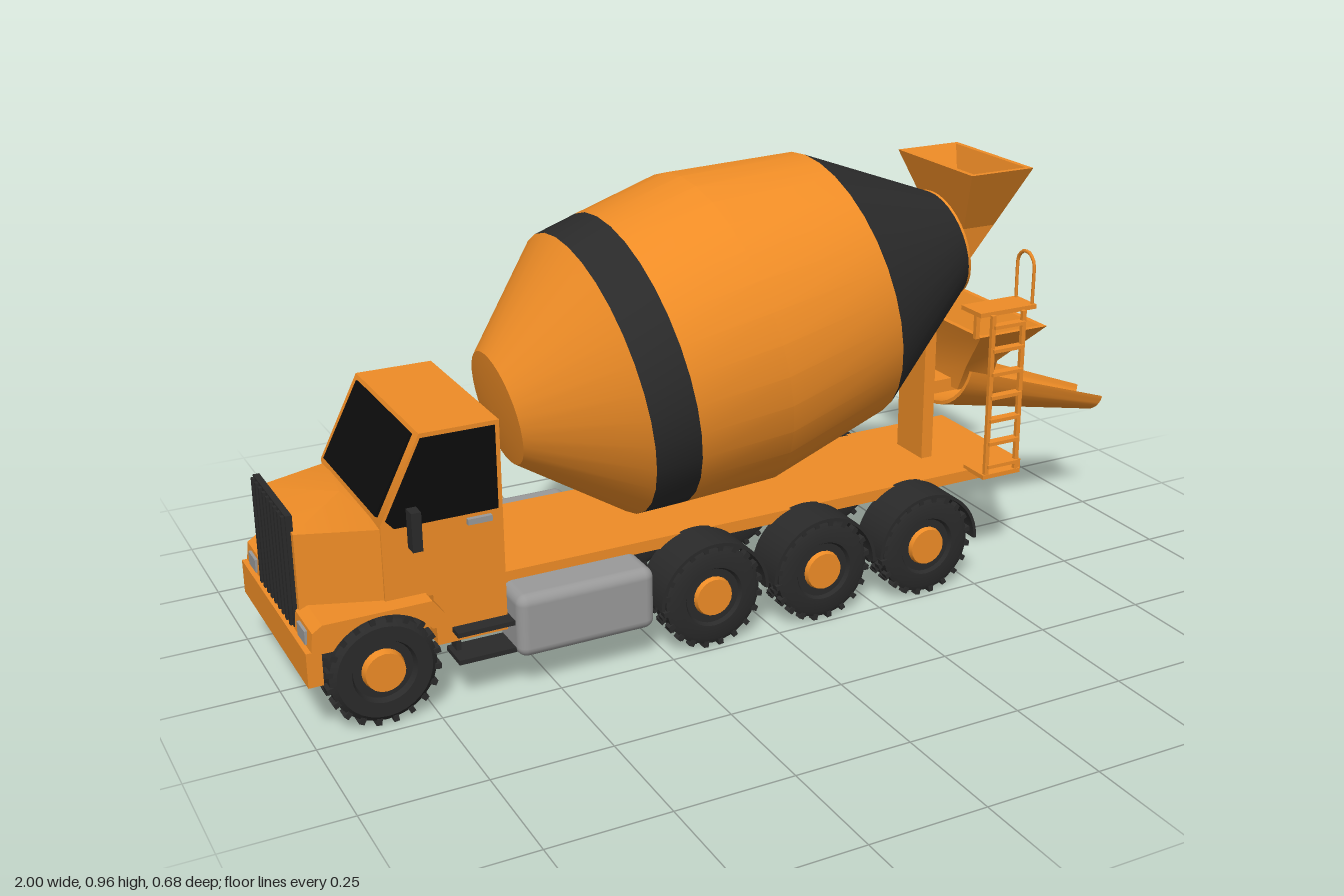
import * as THREE from 'three';
import { toCreasedNormals } from 'three/addons/utils/BufferGeometryUtils.js';
import { RoundedBoxGeometry } from 'three/addons/geometries/RoundedBoxGeometry.js';

const paint = (color) => new THREE.MeshStandardMaterial({ color, side: THREE.DoubleSide });
const orange = paint(0xee8c26), black = paint(0x2a2a2a), grey = paint(0x999999), glass = paint(0x0c0c0c);

function add(parent, name, geometry, material, x = 0, y = 0, z = 0) {
  const mesh = new THREE.Mesh(geometry, material);
  mesh.name = name;
  mesh.position.set(x, y, z);
  parent.add(mesh);
  return mesh;
}

// Box given by its limits on each axis
function box(parent, name, mat, x0, x1, y0, y1, z0, z1) {
  return add(parent, name, new THREE.BoxGeometry(x1 - x0, y1 - y0, z1 - z0), mat,
    (x0 + x1) / 2, (y0 + y1) / 2, (z0 + z1) / 2);
}

// Shape from a side outline of (x, y) corners
const polygon = (outline) => new THREE.Shape(outline.map(([x, y]) => new THREE.Vector2(x, y)));

// Side shape extruded from z0 to z1
function slab(parent, name, mat, shape, z0, z1) {
  const geo = new THREE.ExtrudeGeometry(shape, { depth: z1 - z0, bevelEnabled: false, curveSegments: 16 });
  return add(parent, name, toCreasedNormals(geo, 0.5), mat, 0, 0, z0);
}

// Skin between successive rows of points
function loft(rows, closed) {
  const n = rows[0].length, pos = [];
  for (let r = 0; r + 1 < rows.length; r++) {
    for (let i = 0; i < (closed ? n : n - 1); i++) {
      const j = (i + 1) % n, [a, b, c, d] = [rows[r][i], rows[r][j], rows[r + 1][j], rows[r + 1][i]];
      pos.push(...a, ...b, ...c, ...a, ...c, ...d);
    }
  }
  const geo = new THREE.BufferGeometry();
  geo.setAttribute('position', new THREE.Float32BufferAttribute(pos, 3));
  geo.computeVertexNormals();
  return toCreasedNormals(geo, 0.5);
}

// Rectangular ring for hoppers
const rect = (x0, x1, y, w) => [[x0, y, w], [x1, y, w], [x1, y, -w], [x0, y, -w]];
// Open-topped hopper from outer levels [x0, x1, y, halfWidth], bottom to top
function hopper(parent, name, levels) {
  const t = 0.012;
  const outer = levels.map((l) => rect(...l));
  const inner = levels.map(([a, b, y, w]) => rect(a + t, b - t, y, w - t)).reverse();
  add(parent, name, loft([...outer, ...inner], true), orange);
}

const rod = (points, r) => new THREE.TubeGeometry(
  new THREE.CatmullRomCurve3(points.map((p) => new THREE.Vector3(...p)), false, 'catmullrom', 0.3), 24, r, 6);

function wheel(parent, name, x, z, width, side) {
  const g = new THREE.Group(), h = width / 2;
  g.name = name;
  g.position.set(x, 0.12, z);
  g.rotation.x = side * Math.PI / 2;
  const profile = [[0.001, -h * 0.6], [0.06, -h * 0.6], [0.065, -h], [0.095, -h], [0.107, -h * 0.7],
    [0.107, h * 0.7], [0.095, h], [0.065, h], [0.06, h * 0.6], [0.001, h * 0.6]];
  const tyre = new THREE.LatheGeometry(profile.map(([r, y]) => new THREE.Vector2(r, y)), 32);
  add(g, 'tyre', toCreasedNormals(tyre, 0.6), black);
  add(g, 'hub', new THREE.CylinderGeometry(0.04, 0.044, h * 0.6, 20), orange, 0, h * 0.8, 0);
  // Tread blocks, staggered in two rows
  for (let i = 0; i < 40; i++) {
    const a = i * Math.PI / 20;
    const lug = add(g, 'tread', new THREE.BoxGeometry(0.014, h * 0.85, 0.011), black,
      Math.cos(a) * 0.108, (i % 2 ? 1 : -1) * h * 0.45, Math.sin(a) * 0.108);
    lug.rotation.y = -a;
  }
  parent.add(g);
}

function buildDrum(parent) {
  const drum = new THREE.Group();
  drum.name = 'drum';
  drum.position.set(-0.035, 0.615, 0);
  drum.rotation.z = THREE.MathUtils.degToRad(11 - 90);
  const band = (name, mat, pts) => add(drum, name, toCreasedNormals(
    new THREE.LatheGeometry(pts.map(([r, s]) => new THREE.Vector2(r, s)), 32), 0.3), mat);
  band('drumNose', orange, [[0.001, -0.5], [0.122, -0.49], [0.305, -0.29]]);
  band('drumStripe', black, [[0.305, -0.29], [0.318, -0.195]]);
  band('drumBody', orange, [[0.318, -0.195], [0.342, 0], [0.298, 0.29]]);
  band('drumRearCone', black, [[0.298, 0.29], [0.122, 0.58]]);
  band('drumMouth', orange, [[0.122, 0.58], [0.122, 0.586], [0.104, 0.586], [0.2, 0.38], [0.001, 0.3]]);
  parent.add(drum);
}

function buildCab(parent) {
  const cab = new THREE.Group();
  cab.name = 'cab';
  parent.add(cab);
  slab(cab, 'cabBody', orange, polygon([[-0.585, 0.13], [-0.73, 0.13], [-0.735, 0.24], [-0.83, 0.24],
    [-0.83, 0.405], [-0.745, 0.575], [-0.585, 0.575]]), -0.19, 0.19);
  // Hood narrows towards the grille
  const ring = (y) => [[-0.98, y, 0.13], [-0.82, y, 0.188], [-0.82, y, -0.188], [-0.98, y, -0.13]];
  const mid = (y) => ring(y).map(() => [-0.85, y, 0]);
  add(cab, 'hood', loft([mid(0.2), ring(0.2), ring(0.395), mid(0.408)], true), orange);
  box(cab, 'engineBay', orange, -0.975, -0.73, 0.13, 0.235, -0.15, 0.15);
  box(cab, 'bumper', orange, -1, -0.97, 0.125, 0.197, -0.23, 0.23);
  box(cab, 'grille', black, -0.988, -0.975, 0.195, 0.428, -0.115, 0.115);
  for (let i = -4; i <= 4; i++) {
    box(cab, 'grilleBar', black, -0.994, -0.985, 0.2, 0.425, i * 0.026 - 0.005, i * 0.026 + 0.005);
  }
  slab(cab, 'windshield', glass,
    polygon([[-0.832, 0.415], [-0.826, 0.412], [-0.746, 0.566], [-0.753, 0.569]]), -0.165, 0.165);

  for (const s of [1, -1]) {
    const span = (a, b) => (s > 0 ? [a, b] : [-b, -a]);
    // Front fender with a round wheel arch
    const fender = polygon([[-0.99, 0.19], [-0.985, 0.235], [-0.965, 0.248], [-0.75, 0.248],
      [-0.725, 0.215], [-0.735, 0.19]]);
    fender.absarc(-0.85, 0.12, 0.12, 0.62, Math.PI - 0.62, false);
    slab(cab, 'frontFender', orange, fender, ...span(0.12, 0.23));
    slab(cab, 'sideWindow', glass, polygon([[-0.82, 0.412], [-0.805, 0.395], [-0.595, 0.395], [-0.595, 0.566],
      [-0.743, 0.566]]), ...span(0.188, 0.194));
    box(cab, 'doorHandle', grey, -0.66, -0.61, 0.374, 0.386, ...span(0.188, 0.2));
    box(cab, 'mirror', black, -0.782, -0.762, 0.355, 0.435, ...span(0.2, 0.23));
    box(cab, 'mirrorArm', black, -0.775, -0.768, 0.405, 0.412, ...span(0.185, 0.205));
    box(cab, 'headlight', grey, -0.992, -0.97, 0.2, 0.228, ...span(0.15, 0.2));
    for (const y of [0.093, 0.152]) box(cab, 'step', black, -0.7, -0.58, y, y + 0.01, ...span(0.15, 0.222));
    box(cab, 'stepBracket', black, -0.69, -0.68, 0.093, 0.16, ...span(0.15, 0.18));
    wheel(parent, 'frontWheel', -0.85, s * 0.193, 0.068, s);
  }
}

function buildRear(parent) {
  box(parent, 'drumPost', orange, 0.482, 0.51, 0.238, 0.57, -0.05, 0.05);
  box(parent, 'chuteBracket', orange, 0.5, 0.57, 0.39, 0.42, -0.05, 0.05);

  // Loading hopper and its spout into the drum mouth
  hopper(parent, 'loadingHopper', [[0.56, 0.64, 0.77, 0.065], [0.52, 0.68, 0.91, 0.143]]);
  const spout = [rect(0.475, 0.545, 0.635, 0.045), rect(0.56, 0.64, 0.77, 0.065)];
  add(parent, 'loadingSpout', loft(spout, true), orange);

  // Discharge hopper above the chute
  hopper(parent, 'dischargeHopper', [[0.555, 0.645, 0.4, 0.075], [0.555, 0.64, 0.465, 0.105],
    [0.525, 0.702, 0.563, 0.195]]);

  // Tapering half-pipe chute
  const arc = (x, y, w, d, lean) => Array.from({ length: 17 }, (_, i) => {
    const a = Math.PI * i / 16;
    return [x - lean * Math.sin(a), y - d * Math.sin(a), w * Math.cos(a)];
  });
  const outer = [arc(0.56, 0.455, 0.12, 0.105, 0.025), arc(0.995, 0.298, 0.05, 0.042, 0.012)];
  const inner = [arc(0.995, 0.298, 0.043, 0.035, 0.012), arc(0.56, 0.455, 0.112, 0.097, 0.025)];
  add(parent, 'chute', loft([...outer, ...inner, outer[0]], false), orange);

  // Ladder, landing and handrail on the left side
  for (const x of [0.545, 0.625]) box(parent, 'ladderRail', orange, x - 0.005, x + 0.005, 0.24, 0.615, 0.205, 0.214);
  for (let i = 0; i < 7; i++) {
    const y = 0.265 + i * 0.054;
    box(parent, 'ladderRung', orange, 0.545, 0.625, y - 0.004, y + 0.004, 0.2, 0.22);
  }
  box(parent, 'ladderFoot', orange, 0.535, 0.635, 0.236, 0.246, 0.14, 0.215);
  box(parent, 'landing', orange, 0.515, 0.662, 0.612, 0.622, 0.132, 0.205);
  box(parent, 'landingStrut', orange, 0.515, 0.525, 0.56, 0.615, 0.18, 0.19);
  add(parent, 'handrail', rod([[0.655, 0.62, 0.198], [0.655, 0.71, 0.198], [0.655, 0.732, 0.18],
    [0.655, 0.732, 0.158], [0.655, 0.71, 0.14], [0.655, 0.62, 0.14]], 0.004), orange);
}

export function createModel() {
  const truck = new THREE.Group();
  truck.name = 'mixerTruck';
  box(truck, 'chassis', orange, -0.6, 0.68, 0.213, 0.238, -0.157, 0.157);
  buildCab(truck);
  buildDrum(truck);
  buildRear(truck);

  for (const s of [1, -1]) {
    add(truck, 'fuelTank', new RoundedBoxGeometry(0.297, 0.135, 0.115, 3, 0.022), grey, -0.433, 0.15, s * 0.187);
    for (const x of [-0.15, 0.113, 0.375]) {
      // Twin rear tyres under a half-round mudguard
      wheel(truck, 'rearOuterWheel', x, s * 0.22, 0.041, s);
      wheel(truck, 'rearInnerWheel', x, s * 0.178, 0.041, s);
      const guard = new THREE.Shape();
      guard.absarc(x, 0.118, 0.125, 0, Math.PI, false);
      guard.absarc(x, 0.118, 0.118, Math.PI, 0, true);
      slab(truck, 'mudguard', black, guard, s > 0 ? 0.15 : -0.248, s > 0 ? 0.248 : -0.15);
    }
  }
  return truck;
}
